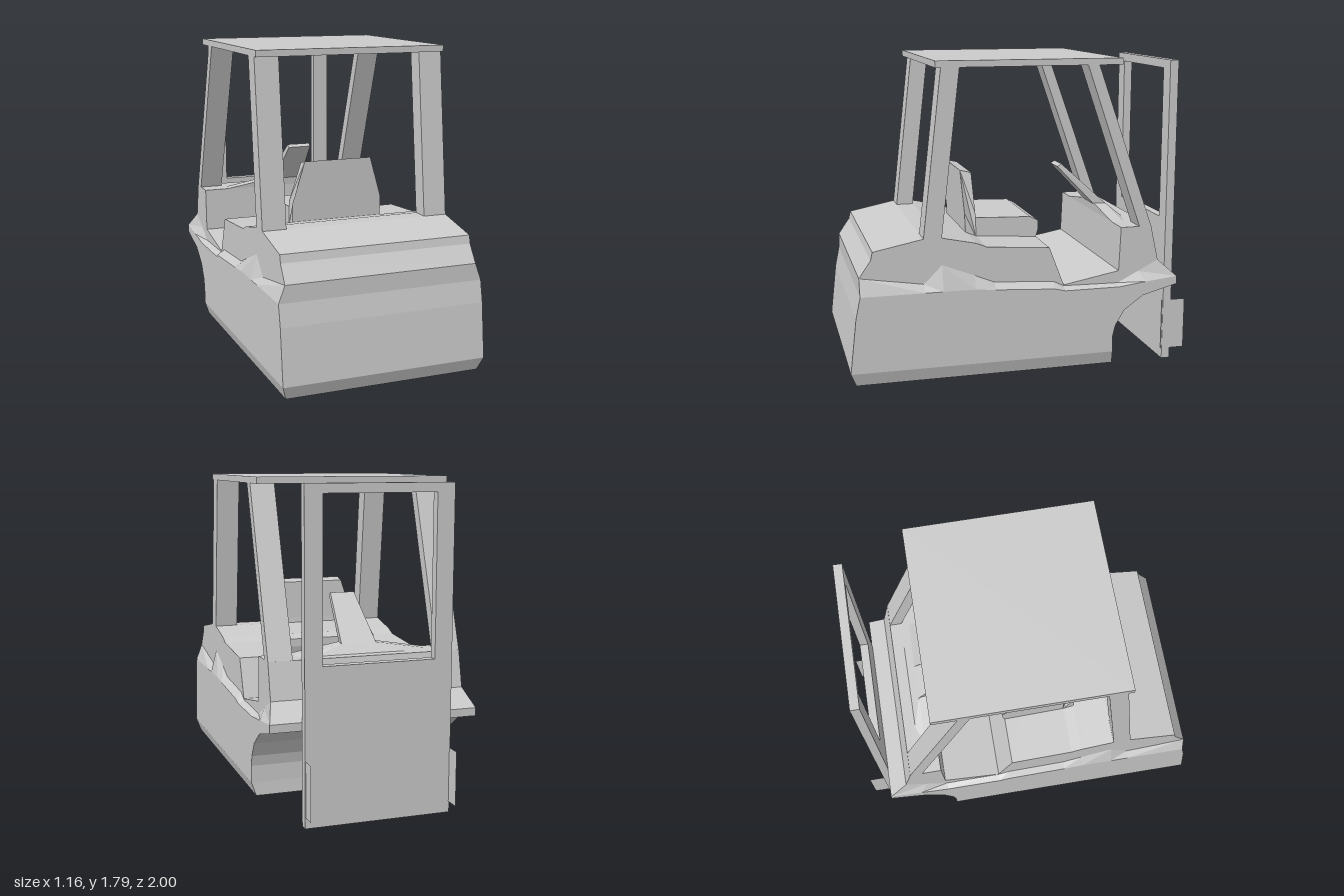
import * as THREE from 'three';
import { ConvexGeometry } from 'three/addons/geometries/ConvexGeometry.js';

const grey = new THREE.MeshStandardMaterial({ color: 0xcccccc, flatShading: true });
const thin = new THREE.MeshStandardMaterial({ color: 0xcccccc, flatShading: true, side: THREE.DoubleSide });

// Collects triangles; points are [z, y, halfWidth]
function builder() {
  const pos = [];
  const put = (p, s) => pos.push(p[2] * s, p[1], p[0]);
  const b = {
    // skin running across the width along a closed side outline
    wrap(outline) {
      outline.forEach((p, i) => {
        const q = outline[(i + 1) % outline.length];
        put(p, 1); put(q, 1); put(q, -1);
        put(p, 1); put(q, -1); put(p, -1);
      });
    },
    // one side triangle, turned outward, and its mirror image
    tri(p, q, r) {
      const nx = (q[1] - p[1]) * (r[0] - p[0]) - (q[0] - p[0]) * (r[1] - p[1]);
      if (nx < 0) [q, r] = [r, q];
      [p, q, r].forEach(v => put(v, 1));
      [p, r, q].forEach(v => put(v, -1));
    },
    cap(poly) {
      const flat = poly.map(p => new THREE.Vector2(-p[0], p[1]));
      THREE.ShapeUtils.triangulateShape(flat, []).forEach(([i, j, k]) => b.tri(poly[i], poly[j], poly[k]));
    },
    strip(a, c) {
      for (let i = 0; i < a.length - 1; i++) {
        b.tri(a[i], a[i + 1], c[i]);
        b.tri(a[i + 1], c[i + 1], c[i]);
      }
    },
    geometry() {
      const g = new THREE.BufferGeometry();
      g.setAttribute('position', new THREE.Float32BufferAttribute(pos, 3));
      g.computeVertexNormals();
      return g;
    },
  };
  return b;
}

const withX = (pts, x) => pts.map(([z, y, w]) => [z, y, w ?? x]);

function bodyGeometry() {
  const W = 0.58, N = 0.545, F = 0.555; // skirt, upper and floor half widths
  const skirtFront = withX([[1, 0.135], [0.965, 0.44], [0.94, 0.56]], W);
  const upper = withX([
    [0.94, 0.655], [0.875, 0.75], [0.865, 0.795], [0.59, 0.85], [0.49, 0.85], [0.3, 0.81],
    [0.24, 0.785], [-0.115, 0.76], [-0.2, 0.54], [-0.525, 0.6], [-0.535, 0.85],
    [-0.715, 0.85], [-0.76, 0.65]], N);
  const skirtRear = withX([
    [-0.865, 0.555], [-0.865, 0.51], [-0.66, 0.455], [-0.55, 0.375], [-0.5, 0.29],
    [-0.485, 0.23], [-0.485, 0.135]], W);
  const floorFront = [0.97, 0.06, F], floorRear = [-0.49, 0.06, F];

  // sloping shoulder between the wide skirt and the narrower upper body
  const low = withX([[0.59, 0.56], [0.49, 0.56], [0.31, 0.56], [0.2, 0.55], [-0.14, 0.53],
    [-0.2, 0.515], [-0.52, 0.515], [-0.68, 0.535]], W);
  const high = withX([[0.59, 0.6], [0.49, 0.7], [0.31, 0.63], [0.2, 0.585], [-0.14, 0.565],
    [-0.2, 0.535], [-0.52, 0.53], [-0.64, 0.59]], N);

  const b = builder();
  b.wrap([floorFront, ...skirtFront, ...upper, ...skirtRear, floorRear]);
  b.cap([...skirtFront, ...low, ...skirtRear]);
  b.cap([...upper, ...high.slice().reverse()]);
  b.strip([skirtFront[2], ...low, skirtRear[0]], [upper[0], ...high, upper[12]]);
  b.strip([floorFront, floorRear], [skirtFront[0], skirtRear[6]]);
  return b.geometry();
}

function solidGeometry(outline) {
  const b = builder();
  b.wrap(outline);
  b.cap(outline);
  return b.geometry();
}

// Side outline [z, y] extruded from x0 to x1
function sidePrism(pts, x0, x1) {
  const shape = new THREE.Shape(pts.map(p => new THREE.Vector2(...p)));
  return new THREE.ExtrudeGeometry(shape, { depth: x1 - x0, bevelEnabled: false })
    .rotateY(-Math.PI / 2).translate(x1, 0, 0);
}

export function createModel() {
  const model = new THREE.Group();
  model.name = 'forkliftTruck';
  const add = (name, geometry, material = grey) => {
    const mesh = new THREE.Mesh(geometry, material);
    mesh.name = name;
    model.add(mesh);
    return mesh;
  };

  add('body', bodyGeometry());

  // seat with a tapering backrest
  add('seat', solidGeometry(withX([
    [0.3, 0.8], [0.305, 0.92], [0.315, 1.155, 0.2], [0.25, 1.14, 0.2], [0.243, 0.92], [0.24, 0.89],
    [-0.08, 0.88], [-0.13, 0.855], [-0.13, 0.81], [-0.115, 0.755], [0.24, 0.78]], 0.27)));

  // dashboard hump and the flat steering column rising from it
  const hump = [];
  for (const s of [-1, 1]) {
    for (const [x, y, z] of [[0.41, 0.848, -0.535], [0.1, 0.9, -0.53], [0.1, 0.9, -0.6],
      [0.41, 0.848, -0.6], [0.26, 0.848, -0.65]]) hump.push(new THREE.Vector3(s * x, y, z));
  }
  add('dashboard', new ConvexGeometry(hump));
  add('steeringColumn', solidGeometry([
    [-0.53, 0.895, 0.09], [-0.305, 1.13, 0.07], [-0.33, 1.145, 0.07], [-0.6, 0.9, 0.1]]));

  // overhead guard
  add('roof', new THREE.BoxGeometry(1.09, 0.036, 1.04)).position.set(0, 1.777, -0.005);
  const front = [[0.59, 0.848], [0.49, 0.848], [0.385, 1.76], [0.485, 1.76]];
  const rear = [[-0.645, 0.848], [-0.715, 0.848], [-0.39, 1.76], [-0.325, 1.76]];
  for (const [side, x0, x1] of [['left', 0.41, 0.545], ['right', -0.545, -0.41]]) {
    add(side + 'FrontPillar', sidePrism(front, x0, x1));
    add(side + 'RearPillar', sidePrism(rear, x0, x1));
  }

  // mast panel with an open window
  const rect = (Type, x, y0, y1) => new Type([[-x, y0], [x, y0], [x, y1], [-x, y1]]
    .map(p => new THREE.Vector2(...p)));
  const mast = rect(THREE.Shape, 0.408, 0, 1.77);
  mast.holes.push(rect(THREE.Path, 0.31, 0.85, 1.72));
  add('mast', new THREE.ExtrudeGeometry(mast, { depth: 0.05, bevelEnabled: false }))
    .position.z = -0.912;

  // thin fork brackets
  for (const [side, s] of [['left', 1], ['right', -1]]) {
    const fin = add(side + 'Bracket', new THREE.PlaneGeometry(0.145, 0.3), thin);
    fin.rotation.y = Math.PI / 2;
    fin.position.set(s * 0.404, 0.21, -0.9275);
  }
  return model;
}
